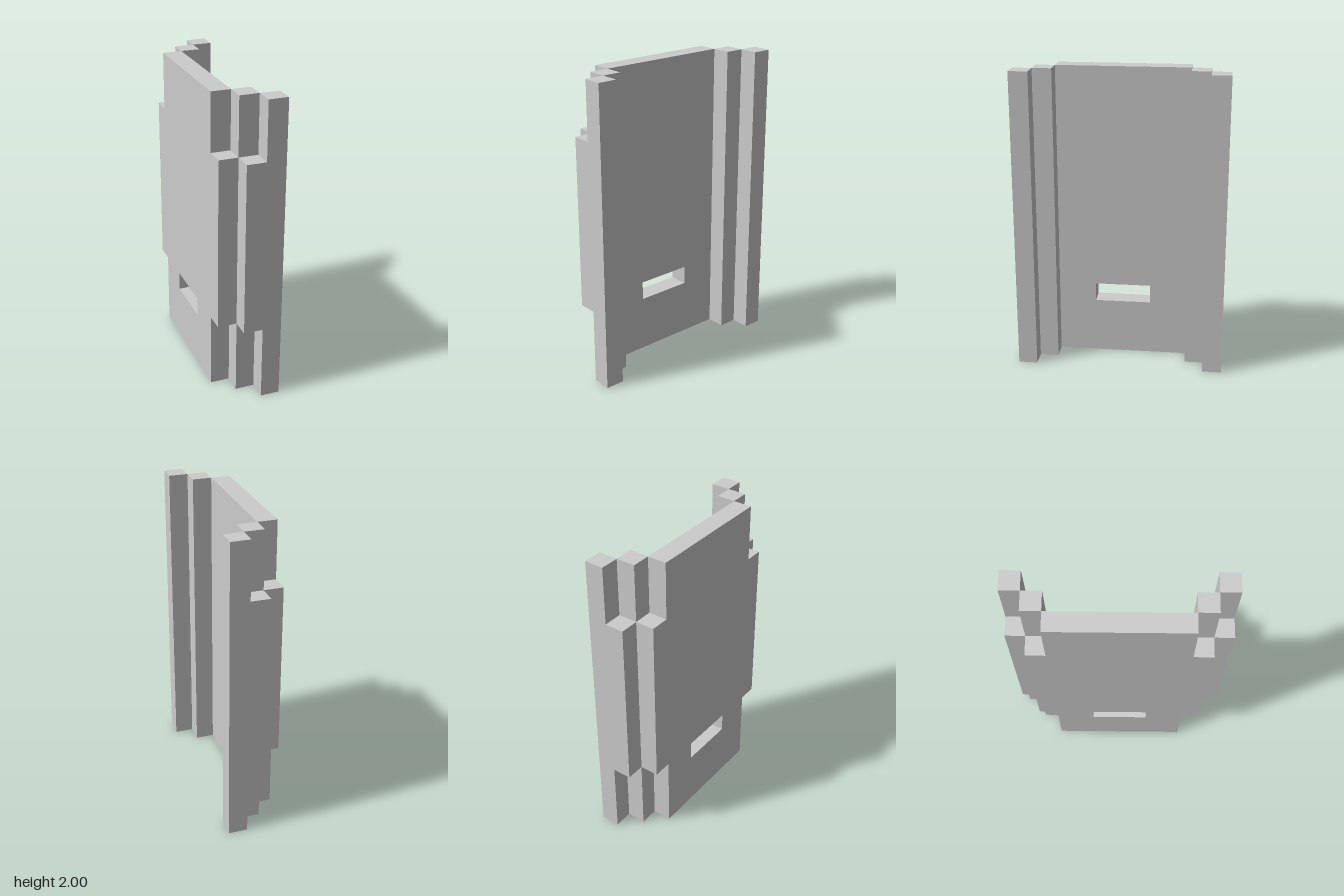
import * as THREE from 'three';

const U = 0.125; // the model sits on a grid of this unit, 3 x 16 x 11

export function createModel() {
  const group = new THREE.Group();
  const material = new THREE.MeshStandardMaterial({ color: 0xcccccc, flatShading: true });

  const rect = (Type, x0, y0, x1, y1) => {
    const path = new Type();
    path.moveTo(x0, y0).lineTo(x1, y0).lineTo(x1, y1).lineTo(x0, y1).closePath();
    return path;
  };

  // Main panel, drawn in the z-y plane with a slot cut through it
  const outline = rect(THREE.Shape, -3.5 * U, 0, 3.5 * U, 16 * U);
  outline.holes.push(rect(THREE.Path, -1.5 * U, 3 * U, 1.5 * U, 4 * U));
  const panelGeometry = new THREE.ExtrudeGeometry(outline, { depth: U, bevelEnabled: false });
  panelGeometry.rotateY(-Math.PI / 2).translate(-0.5 * U, 0, 0);
  const panel = new THREE.Mesh(panelGeometry, material);
  panel.name = 'slottedPanel';
  group.add(panel);

  // Square post at grid column (x, z), from height y0 to y1
  const addPost = (name, x, z, y0, y1) => {
    const post = new THREE.Mesh(new THREE.BoxGeometry(U, (y1 - y0) * U, U), material);
    post.name = name;
    post.position.set(x * U, ((y0 + y1) / 2) * U, z * U);
    group.add(post);
  };

  // Stepped edges, mirrored front and back
  for (const [side, s] of [['front', 1], ['back', -1]]) {
    addPost(side + 'InnerPost', 0, 4 * s, 0, 16);
    addPost(side + 'OuterPost', 1, 5 * s, 0, 16);
    // Shorter strips that fill the outside corners of the steps
    addPost(side + 'InnerStrip', -1, 4 * s, 4, 13);
    addPost(side + 'OuterStrip', 0, 5 * s, 4, 13);
  }

  return group;
}
